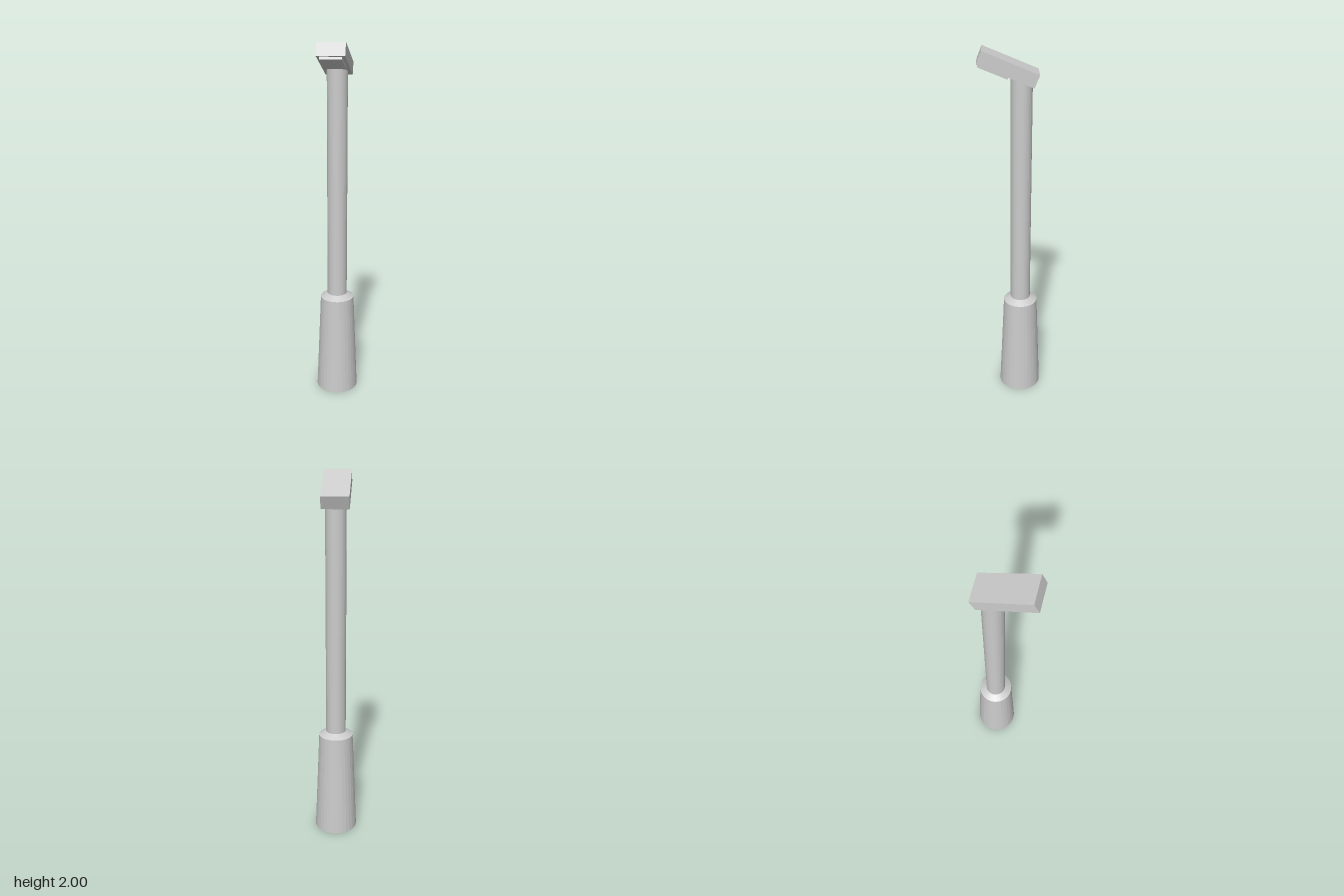
import * as THREE from 'three';

const SIDES = 32;
const AXIS_Z = -0.054; // post stands behind the centre, the head reaches forward

export function createModel() {
  const group = new THREE.Group();
  const material = new THREE.MeshStandardMaterial({ color: 0xcccccc, flatShading: true });

  const add = (name, geometry, parent, x, y, z) => {
    const mesh = new THREE.Mesh(geometry, material);
    mesh.name = name;
    mesh.position.set(x, y, z);
    parent.add(mesh);
    return mesh;
  };

  // Tapered base with a sloped shoulder
  const profile = [[0, 0], [0.118, 0], [0.094, 0.573], [0.055, 0.595], [0, 0.595]]
    .map(([r, y]) => new THREE.Vector2(r, y));
  add('base', new THREE.LatheGeometry(profile, SIDES), group, 0, 0, AXIS_Z);

  // Straight post, ending inside the lamp head
  const bottom = 0.59, top = 1.868;
  add('post', new THREE.CylinderGeometry(0.055, 0.055, top - bottom, SIDES),
    group, 0, (top + bottom) / 2, AXIS_Z);

  // Lamp head tilted up towards the front
  const head = new THREE.Group();
  head.name = 'lampHead';
  head.position.set(0, 1.91, 0.0145);
  head.rotation.x = -THREE.MathUtils.degToRad(22.4);
  group.add(head);
  add('housing', new THREE.BoxGeometry(0.145, 0.07, 0.306), head, 0, 0, 0);

  // Light panel on the underside of the front half
  add('lightPanel', new THREE.BoxGeometry(0.112, 0.02, 0.157), head, 0, -0.038, 0.0625);

  return group;
}
